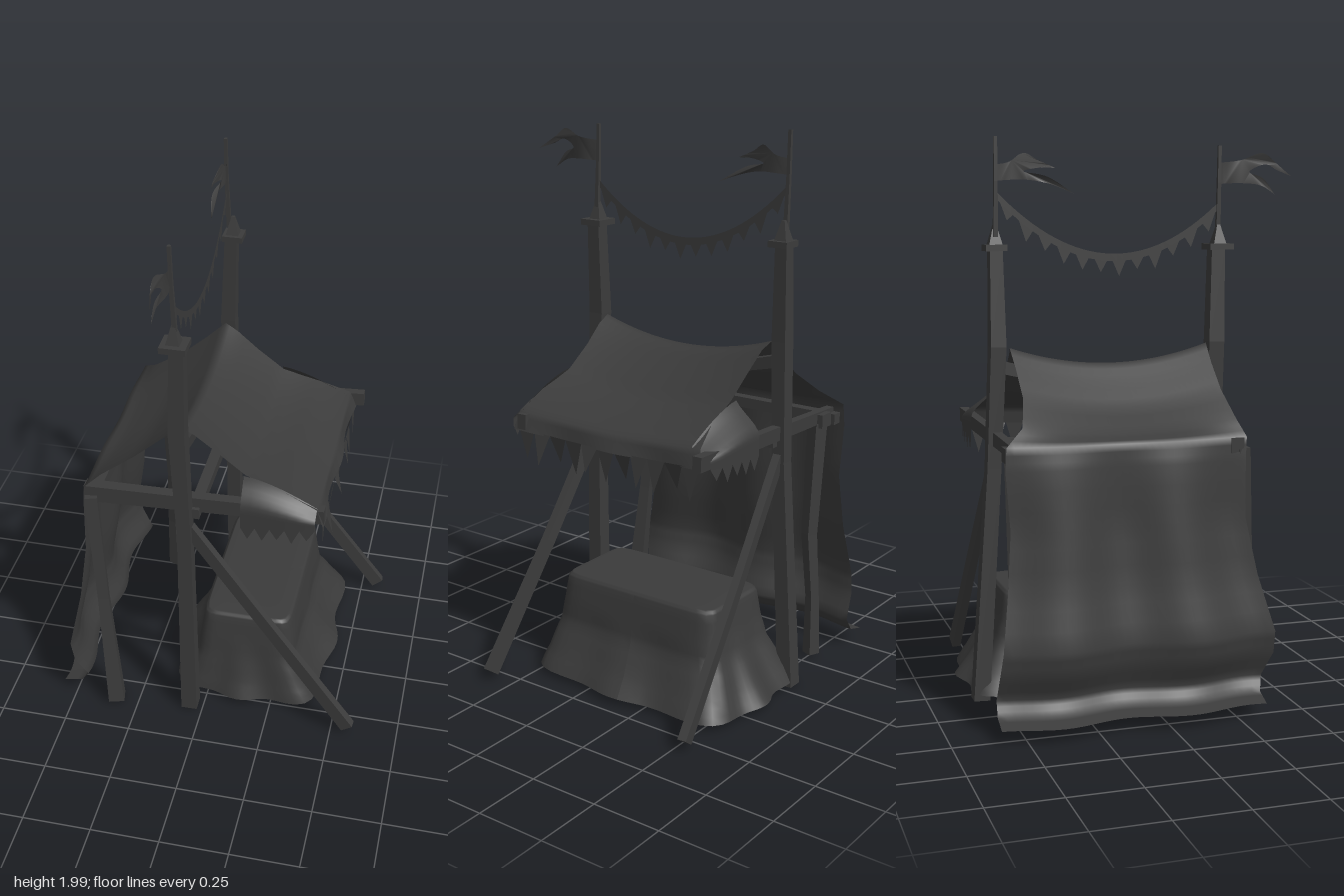
import * as THREE from 'three';

const wood = new THREE.MeshStandardMaterial({ color: 0x3b3b3b, flatShading: true });
const cloth = new THREE.MeshStandardMaterial({ color: 0x3b3b3b, side: THREE.DoubleSide });
const V = (x, y, z) => new THREE.Vector3(x, y, z);

function add(parent, name, geo, mat) {
  const mesh = new THREE.Mesh(geo, mat);
  mesh.name = name;
  parent.add(mesh);
  return mesh;
}

// Timber following a list of [x, y, z, width] points; depth scales its z thickness
function beam(parent, name, path, depth = 1) {
  const n = path.length - 1;
  const geo = new THREE.BoxGeometry(1, 1, 1, 1, n, 1);
  const pts = path.map(p => V(p[0], p[1], p[2]));
  const dir = pts[n].clone().sub(pts[0]).normalize();
  const q = new THREE.Quaternion().setFromUnitVectors(V(0, 1, 0), dir);
  const pos = geo.attributes.position, v = V(0, 0, 0);
  for (let i = 0; i < pos.count; i++) {
    const k = Math.round((pos.getY(i) + 0.5) * n);
    v.set(pos.getX(i) * path[k][3], 0, pos.getZ(i) * path[k][3] * depth).applyQuaternion(q).add(pts[k]);
    pos.setXYZ(i, v.x, v.y, v.z);
  }
  geo.computeVertexNormals();
  return add(parent, name, geo, wood);
}

// Grid surface from a rule fn(u, v) -> point
function sheet(parent, name, nu, nv, fn) {
  const geo = new THREE.PlaneGeometry(1, 1, nu, nv);
  const pos = geo.attributes.position;
  for (let i = 0; i < pos.count; i++) {
    const p = fn(pos.getX(i) + 0.5, 0.5 - pos.getY(i));
    pos.setXYZ(i, p.x, p.y, p.z);
  }
  geo.computeVertexNormals();
  return add(parent, name, geo, cloth);
}

// Row of hanging triangles below a curve fn(t)
function teeth(parent, name, n, fn, depth, gap = 0, sway = 0) {
  const a = [];
  for (let i = 0; i < n; i++) {
    const p = fn((i + gap) / n), q = fn((i + 1 - gap) / n), m = fn((i + 0.5) / n);
    m.y -= depth * (1 + 0.15 * Math.sin(i * 2.7));
    m.x += sway * Math.sin(i * 1.9);
    a.push(...p.toArray(), ...m.toArray(), ...q.toArray());
  }
  const geo = new THREE.BufferGeometry();
  geo.setAttribute('position', new THREE.Float32BufferAttribute(a, 3));
  geo.computeVertexNormals();
  return add(parent, name, geo, cloth);
}

// Linear interpolation through rows of numbers
function rowAt(rows, t) {
  const s = t * (rows.length - 1), i = Math.min(Math.floor(s), rows.length - 2), f = s - i;
  return rows[i].map((a, k) => a + (rows[i + 1][k] - a) * f);
}

export function createModel() {
  const g = new THREE.Group();
  g.name = 'marketStall';

  // Tall posts with cap, pyramid and flag staff
  const posts = [
    { name: 'frontPost', path: [[-0.05, 0.01, 0.315, 0.06], [-0.058, 0.85, 0.32, 0.05], [-0.078, 1.28, 0.318, 0.058], [-0.072, 1.62, 0.325, 0.05]], z: 0.328, cx: -0.08, w: 0.09, top: 1.98 },
    { name: 'backPost', path: [[-0.055, 0.01, -0.56, 0.058], [-0.06, 0.85, -0.505, 0.05], [-0.075, 1.28, -0.488, 0.055], [-0.068, 1.62, -0.49, 0.045]], z: -0.49, cx: -0.06, w: 0.075, top: 2.0 },
  ];
  for (const p of posts) {
    const group = new THREE.Group();
    group.name = p.name;
    g.add(group);
    beam(group, 'post', p.path);
    add(group, 'postCap', new THREE.BoxGeometry(p.w, 0.022, p.w), wood).position.set(p.cx, 1.622, p.z);
    const tip = add(group, 'postFinial', new THREE.CylinderGeometry(0.008, 0.034, 0.07, 4), wood);
    tip.rotation.y = Math.PI / 4;
    tip.position.set(p.cx - 0.003, 1.666, p.z);
    beam(group, 'flagStaff', [[-0.078, 1.66, p.z, 0.016], [-0.088, 1.85, p.z, 0.013], [-0.092, p.top, p.z, 0.012]]);
  }

  // Rear legs, braces and horizontal frame
  beam(g, 'frontLeg', [[-0.41, 0.94, 0.295, 0.045], [-0.375, 0.5, 0.325, 0.04], [-0.335, 0.02, 0.355, 0.06]]);
  beam(g, 'backLeg', [[-0.325, 0.93, -0.495, 0.05], [-0.305, 0.5, -0.485, 0.042], [-0.315, 0.25, -0.5, 0.036], [-0.31, 0.02, -0.505, 0.045]]);
  beam(g, 'backLegBlock', [[-0.332, 0.915, -0.497, 0.062], [-0.332, 0.965, -0.497, 0.062]]);
  beam(g, 'frontBrace', [[-0.05, 0.87, 0.31, 0.045], [0.25, 0.46, 0.318, 0.045], [0.565, 0.04, 0.335, 0.05]], 0.65);
  beam(g, 'backBrace', [[-0.05, 0.87, -0.5, 0.045], [0.25, 0.46, -0.52, 0.045], [0.565, 0.04, -0.535, 0.05]], 0.65);
  beam(g, 'frontRail', [[-0.435, 0.945, 0.272, 0.065], [0, 0.96, 0.275, 0.058], [0.43, 0.975, 0.275, 0.055]], 0.7);
  beam(g, 'backRail', [[-0.42, 0.945, -0.49, 0.045], [0, 0.96, -0.495, 0.05], [0.46, 0.975, -0.503, 0.052]], 0.65);
  beam(g, 'rearCrossbar', [[-0.405, 0.93, -0.53, 0.04], [-0.405, 0.93, 0.29, 0.04]]);
  beam(g, 'middleCrossbar', [[-0.03, 0.93, -0.5, 0.04], [-0.03, 0.93, 0.31, 0.04]]);
  beam(g, 'ridgePole', [[-0.075, 1.215, -0.5, 0.045], [-0.075, 1.165, -0.3, 0.04], [-0.075, 1.15, -0.08, 0.035], [-0.075, 1.165, 0.14, 0.04], [-0.075, 1.215, 0.33, 0.045]]);

  // Awning and rear curtain, one cloth: rows of [x, y, zFront, zBack, sag, fold]
  const rows = [
    [0.425, 0.945, 0.31, -0.5, 0.01, 0.008], [0.405, 1.01, 0.3, -0.48, 0.015, 0], [0.3, 1.06, 0.295, -0.45, 0.03, 0],
    [0.22, 1.085, 0.29, -0.44, 0.04, 0], [0.15, 1.11, 0.285, -0.43, 0.045, 0], [0.05, 1.185, 0.28, -0.43, 0.05, 0],
    [-0.03, 1.25, 0.285, -0.435, 0.06, 0], [-0.08, 1.275, 0.285, -0.445, 0.062, 0], [-0.15, 1.21, 0.28, -0.44, 0.057, 0],
    [-0.25, 1.122, 0.28, -0.44, 0.05, 0], [-0.37, 1.035, 0.29, -0.47, 0.035, 0], [-0.435, 0.98, 0.305, -0.54, 0.005, 0.003],
    [-0.445, 0.9, 0.3, -0.545, 0, 0.01], [-0.455, 0.7, 0.3, -0.53, 0, 0.02], [-0.475, 0.5, 0.34, -0.545, 0, 0.022],
    [-0.512, 0.3, 0.395, -0.57, 0, 0.024], [-0.497, 0.22, 0.395, -0.58, 0, 0.022], [-0.455, 0.13, 0.365, -0.585, 0, 0.018],
    [-0.485, 0.08, 0.35, -0.588, 0, 0.018], [-0.56, 0.06, 0.345, -0.59, 0, 0.02],
  ];
  sheet(g, 'awningAndCurtain', 32, 57, (u, v) => {
    const [x, y, zf, zb, sag, fold] = rowAt(rows, v);
    return V(x + fold * Math.sin(u * 13.1 + 0.78), y - sag * 4 * u * (1 - u), zf + (zb - zf) * u);
  });

  // Ragged front hem of the awning
  teeth(g, 'awningFringe', 11, t => V(0.425, 0.95 - 0.04 * t * (1 - t), 0.29 - 0.78 * t), 0.105, 0, 0.025);

  // Side flaps draped over the rails, with pointed lower edges
  for (const [name, inner, outer] of [['frontFlap', 0.288, 0.348], ['backFlap', -0.44, -0.54]]) {
    sheet(g, name, 8, 10, (u, v) => {
      const top = 1.11 - 0.1 * Math.pow(u, 1.5), low = 0.93 + 0.015 * u;
      const out = THREE.MathUtils.smoothstep(v, -0.1, 0.6) * (1 - 0.2 * u ** 4);
      return V(0.145 + 0.26 * u, top + (low - top) * v, inner + (outer - inner) * out);
    });
    teeth(g, name + 'Fringe', 5, t => V(0.145 + 0.26 * t, 0.93 + 0.015 * t, inner + (outer - inner) * (1 - 0.2 * t ** 4)), 0.048);
  }

  // Bunting hung between the staffs
  const swag = t => V(-0.085, 1.765 + 0.035 * t - 0.78 * t * (1 - t), 0.325 - 0.81 * t);
  sheet(g, 'buntingCord', 32, 1, (u, v) => swag(u).add(V(0, 0.012 - 0.026 * v, 0)));
  teeth(g, 'buntingPennants', 12, swag, 0.06, 0.05);

  // Swallow-tailed flags: upper edge, notch and lower edge as [forward, up] from the staff
  const flag = (name, z, upper, notch, lower) => {
    const s = new THREE.Shape();
    s.moveTo(...upper[0]);
    for (const edge of [upper.slice(1), notch, lower]) s.splineThru(edge.map(p => new THREE.Vector2(...p)));
    const geo = new THREE.ShapeGeometry(s, 6), pos = geo.attributes.position;
    for (let i = 0; i < pos.count; i++) {
      const f = pos.getX(i);
      pos.setXYZ(i, -0.09 + 0.01 * Math.sin(f * 26), 1.87 + pos.getY(i), z + f);
    }
    geo.computeVertexNormals();
    add(g, name, geo, cloth);
  };
  flag('frontFlag', 0.335,
    [[0, 0.05], [0.08, 0.06], [0.155, 0.085], [0.21, 0.05], [0.275, 0.005]],
    [[0.215, 0.025], [0.165, 0.045], [0.11, 0.018], [0.16, -0.005], [0.205, -0.062]],
    [[0.15, -0.03], [0.08, -0.022], [0, -0.025]]);
  flag('backFlag', -0.49,
    [[0, 0.035], [0.05, 0.045], [0.1, 0.075], [0.15, 0.05], [0.21, 0.025]],
    [[0.15, 0.025], [0.1, 0.012], [0.18, -0.005], [0.28, -0.062]],
    [[0.19, -0.03], [0.1, -0.015], [0, -0.02]]);

  // Cloth-covered counter: rings of [y, centreX, centreZ, halfX, halfZ, ripple, squareness]
  const rings = [
    [0.385, 0.14, -0.13, 0, 0, 0, 12], [0.385, 0.14, -0.13, 0.155, 0.312, 0, 12], [0.37, 0.14, -0.13, 0.168, 0.325, 0, 12],
    [0.28, 0.14, -0.13, 0.183, 0.338, 0, 10], [0.2, 0.14, -0.135, 0.192, 0.355, 0.004, 8],
    [0.1, 0.148, -0.152, 0.24, 0.395, 0.01, 6], [0.03, 0.15, -0.163, 0.288, 0.43, 0.017, 4.5],
  ];
  sheet(g, 'coveredCounter', 72, 18, (u, v) => {
    const [y, cx, cz, hx, hz, r, e] = rowAt(rings, v);
    const a = u * Math.PI * 2, c = Math.cos(a), s = Math.sin(a);
    const k = Math.pow(Math.abs(c) ** e + Math.abs(s) ** e, -1 / e), w = r * Math.sin(a * 8 + 1);
    return V(cx + c * k * (hx + w), y + w * 0.2, cz + s * k * (hz + w));
  });

  return g;
}
